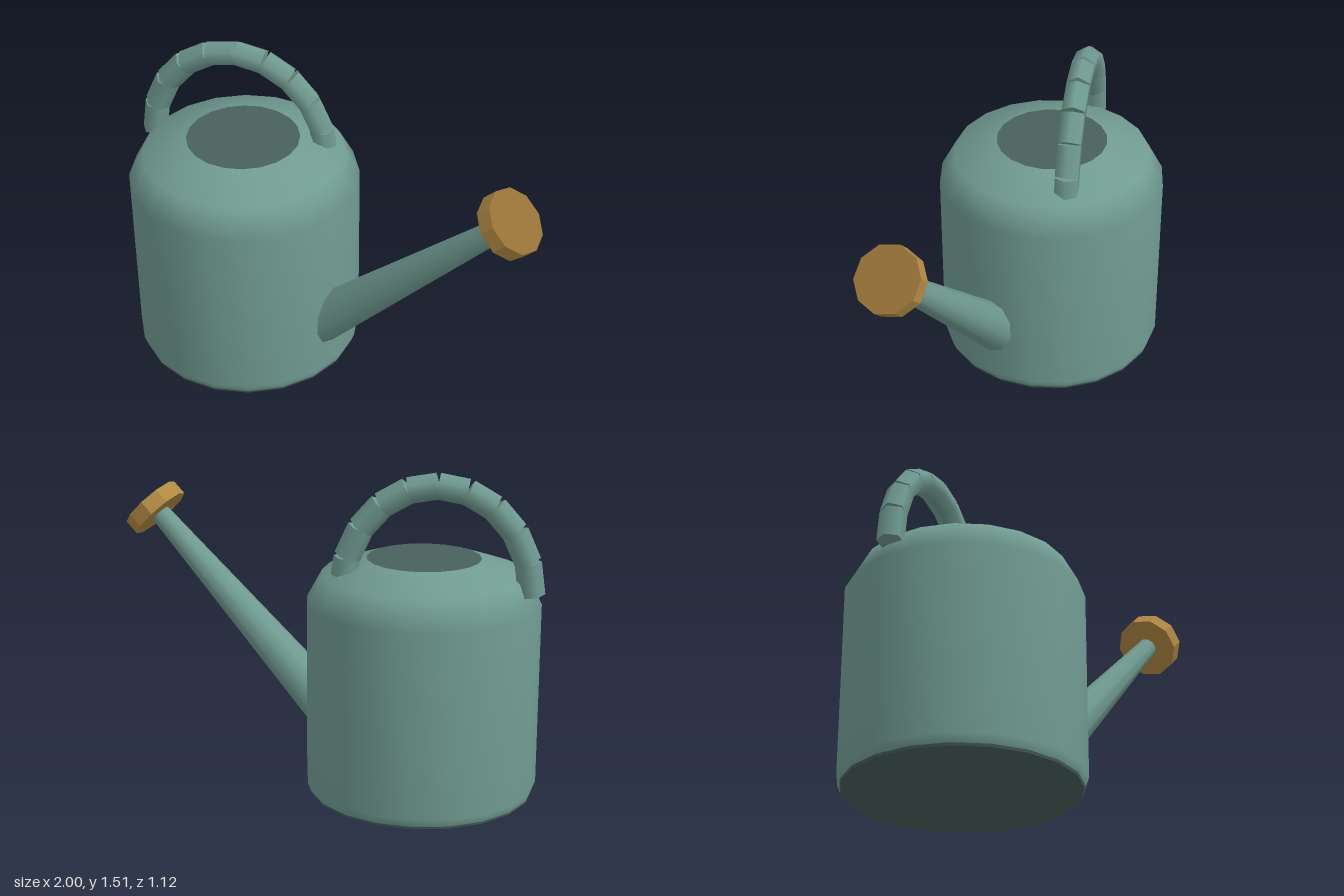
import * as THREE from 'three';

const material = (name, color) => {
  const m = new THREE.MeshStandardMaterial({ color });
  m.name = name;
  return m;
};

export function createModel() {
  const green = material('sage green', 0x709b91);
  const darkGreen = material('dark green', 0x49615d);
  const brass = material('brass', 0xb38a44);
  const darkBrass = material('dark brass', 0x967136);
  const model = new THREE.Group();
  model.name = 'wateringCan';

  const add = (name, geometry, mat, parent = model) => {
    const mesh = new THREE.Mesh(geometry, mat);
    mesh.name = name;
    parent.add(mesh);
    return mesh;
  };

  // Tapered rod running from point a to point b, its first corner at angle turn
  const up = new THREE.Vector3(0, 1, 0);
  const rod = (name, a, b, ra, rb, sides, turn, mat, parent) => {
    const dir = b.clone().sub(a);
    const geometry = new THREE.CylinderGeometry(rb, ra, dir.length(), sides, 1, false, turn);
    const mesh = add(name, geometry, mat, parent);
    mesh.position.copy(a).add(b).multiplyScalar(0.5);
    mesh.quaternion.setFromUnitVectors(up, dir.normalize());
    return mesh;
  };

  // Tank with softened foot and sloping shoulder
  const tank = new THREE.Group();
  tank.name = 'tank';
  tank.position.set(-0.457, 0, -0.026);
  model.add(tank);
  const profile = [[0.518, 0.012], [0.532, 0.05], [0.532, 0.9], [0.462, 1.03], [0.26, 1.1]]
    .map(([r, y]) => new THREE.Vector2(r, y));
  add('tankWall', new THREE.LatheGeometry(profile, 20), green, tank);

  // Dark base plate and filling opening
  add('tankBase', new THREE.CylinderGeometry(0.518, 0.514, 0.012, 20), darkGreen, tank)
    .position.y = 0.006;
  add('fillOpening', new THREE.CircleGeometry(0.26, 20).rotateX(-Math.PI / 2), darkGreen, tank)
    .position.y = 1.1;

  // Arched handle made of straight six-sided segments
  const handle = new THREE.Group();
  handle.name = 'handle';
  model.add(handle);
  const segments = 10;
  const archPoint = (i) => {
    const t = (i / segments) * Math.PI;
    return new THREE.Vector3(-0.522 - 0.42 * Math.cos(t), 0.975 + 0.48 * Math.sin(t), -0.155);
  };
  for (let i = 0; i < segments; i++) {
    rod('handleSegment', archPoint(i), archPoint(i + 1), 0.06, 0.06, 6, Math.PI / 2, green, handle);
  }

  // Spout and its sprinkler head share one axis
  const headCentre = new THREE.Vector3(0.865, 1.196, 0.406);
  const axis = new THREE.Vector3(1, 1.03, 0.278);
  const along = (dx) => headCentre.clone().addScaledVector(axis, dx);
  rod('spout', along(-0.955), along(-0.015), 0.117, 0.047, 10, 0.6 * Math.PI, green);

  // Flat-sided head with a darker outer face
  const half = 0.0375 / axis.length();
  const head = rod('sprinklerHead', along(-half), along(half), 0.15, 0.15, 10, 0.6 * Math.PI,
    [brass, darkBrass, brass]);
  head.geometry = head.geometry.toNonIndexed();
  head.geometry.computeVertexNormals();

  return model;
}
